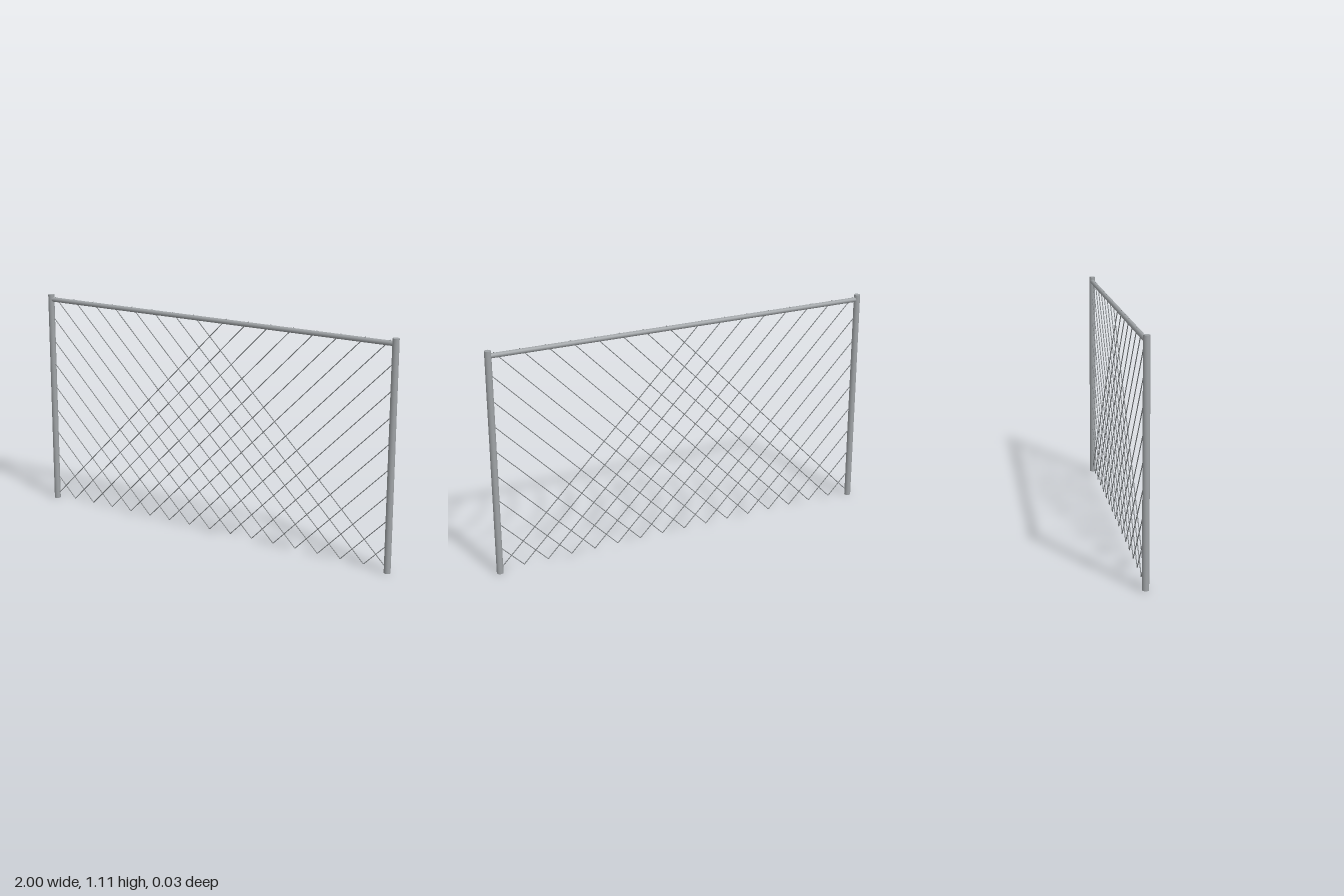
import * as THREE from 'three';

export function createModel() {
  const steel = new THREE.MeshStandardMaterial({ color: 0x9fa3a6 });
  steel.name = 'galvanised steel';
  const wireMat = new THREE.MeshStandardMaterial({ color: 0x888c8f });
  wireMat.name = 'grey wire';

  const model = new THREE.Group();
  model.name = 'fencePanel';

  const postX = 0.984, postR = 0.016, height = 1.108;
  const wireBottom = 0.017, wireTop = 1.097, wireR = 0.0023;
  const step = postX / 8;

  // Round bar between two points in the z = 0 plane
  function bar(name, x1, y1, x2, y2, radius, sides, material) {
    const a = new THREE.Vector3(x1, y1, 0);
    const b = new THREE.Vector3(x2, y2, 0);
    const dir = b.clone().sub(a);
    const mesh = new THREE.Mesh(
      new THREE.CylinderGeometry(radius, radius, dir.length(), sides), material);
    mesh.position.copy(a).add(b).multiplyScalar(0.5);
    mesh.quaternion.setFromUnitVectors(new THREE.Vector3(0, 1, 0), dir.normalize());
    mesh.name = name;
    return mesh;
  }

  // Posts and top rail
  model.add(bar('leftPost', postX, 0, postX, height, postR, 16, steel));
  model.add(bar('rightPost', -postX, 0, -postX, height, postR, 16, steel));
  model.add(bar('topRail', -postX, 1.083, postX, 1.083, 0.012, 12, steel));

  // Mirrored sets of 45 degree wires, each clipped by a post or the rail
  for (const side of [1, -1]) {
    const wires = new THREE.Group();
    wires.name = side > 0 ? 'wiresRisingRight' : 'wiresRisingLeft';
    for (let k = -7; k <= 8; k++) {
      const x = k * step;
      const run = Math.min(x + postX, wireTop - wireBottom);
      wires.add(bar('wire', side * x, wireBottom,
        side * (x - run), wireBottom + run, wireR, 6, wireMat));
    }
    model.add(wires);
  }
  return model;
}
